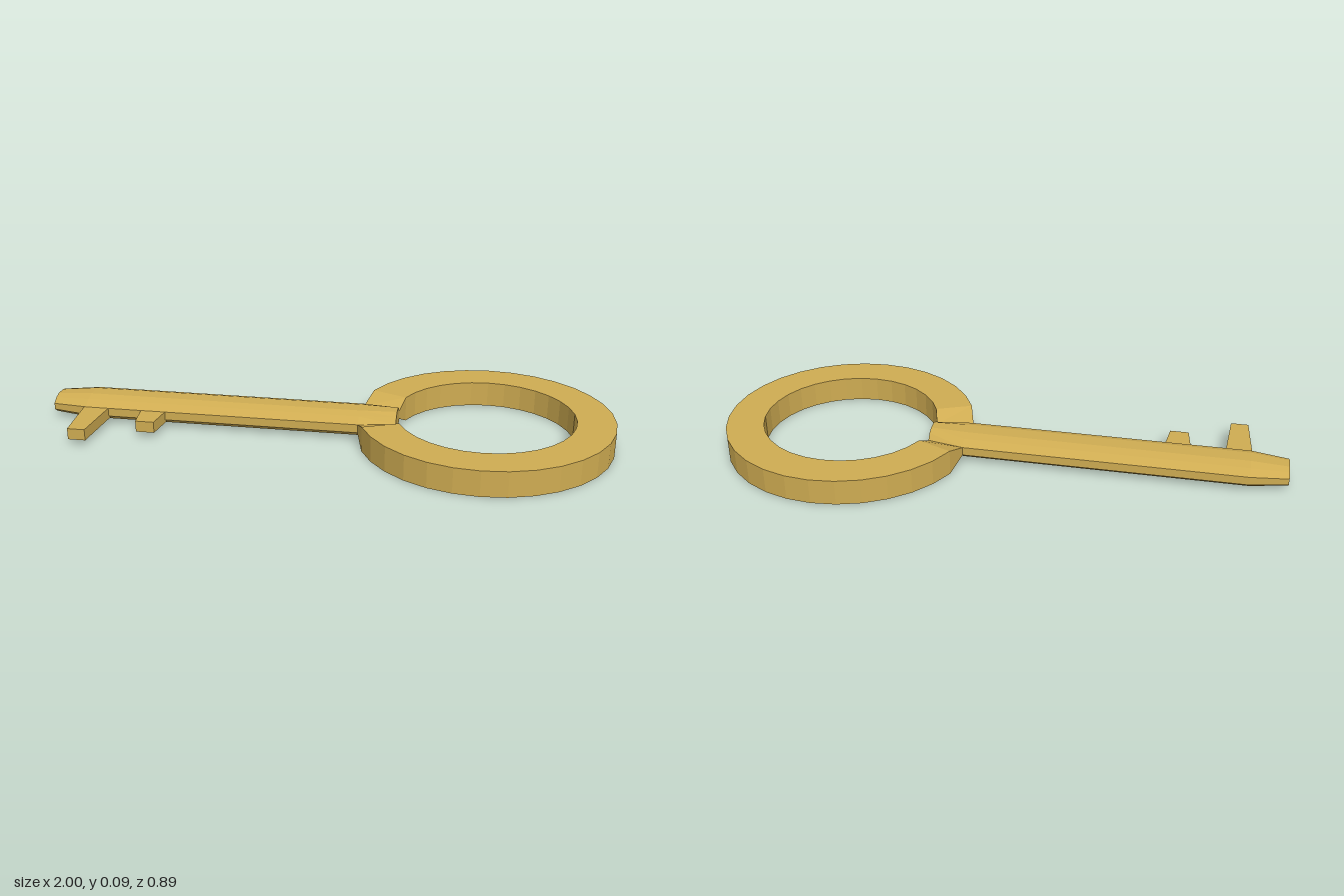
import * as THREE from 'three';

// Joins cross-sections into a closed solid; points run counter-clockwise about the travel direction
function loft(sections) {
  const pos = [];
  const tri = (...pts) => pts.forEach((p) => pos.push(...p));
  const n = sections[0].length;
  for (let s = 0; s < sections.length - 1; s++) {
    const a = sections[s], b = sections[s + 1];
    for (let i = 0; i < n; i++) {
      const j = (i + 1) % n;
      tri(a[i], a[j], b[j]);
      tri(a[i], b[j], b[i]);
    }
  }
  const first = sections[0], last = sections[sections.length - 1];
  for (let i = 1; i < n - 1; i++) {
    tri(first[0], first[i + 1], first[i]);
    tri(last[0], last[i], last[i + 1]);
  }
  const geo = new THREE.BufferGeometry();
  geo.setAttribute('position', new THREE.Float32BufferAttribute(pos, 3));
  geo.computeVertexNormals();
  return geo;
}

export function createModel() {
  const key = new THREE.Group();
  key.name = 'key';
  const brass = new THREE.MeshStandardMaterial({ color: 0xcfac52 });
  brass.name = 'brass';
  const add = (name, sections) => {
    const mesh = new THREE.Mesh(loft(sections), brass);
    mesh.name = name;
    key.add(mesh);
  };

  // Ring handle: 32-sided, open by two steps where the shaft enters, ends pinched
  const cx = 0.555, outer = 0.445, inner = 0.312, step = Math.PI / 16;
  const ring = [];
  for (let k = -15; k <= 15; k++) {
    const c = Math.cos(k * step), s = Math.sin(k * step);
    const [lo, hi] = Math.abs(k) === 15 ? [0.03, 0.06] : [0, 0.09];
    ring.push([[outer, lo], [outer, hi], [inner, hi], [inner, lo]]
      .map(([r, y]) => [cx + r * c, y, r * s]));
  }
  add('ringHandle', ring);

  // Shaft: flattened twelve-sided bar with a tapered tip and a narrowed root
  const half = [[0.09, 0.028], [0.08, 0.06], [0.06, 0.087], [0.03, 0.087], [0.01, 0.06], [0, 0.028]];
  const profile = [...half, ...half.map(([y, z]) => [y, -z]).reverse()];
  const shaft = [[-1, 0.75, 0.75], [-0.87, 1, 1], [0.119, 1, 1], [0.249, 0.7, 1]]
    .map(([x, sz, sy]) => profile.map(([y, z]) => [x, 0.045 + (y - 0.045) * sy, z * sz]));
  add('shaft', shaft);

  // Teeth: blocks narrowing away from the shaft
  for (const [name, x, root, tip, end] of [
    ['longTooth', -0.832, 0.046, 0.031, 0.283],
    ['shortTooth', -0.62, 0.046, 0.033, 0.182],
  ]) {
    add(name, [[root, 0.075], [tip, end]].map(([w, z]) =>
      [[x + w, 0.02, z], [x + w, 0.06, z], [x - w, 0.06, z], [x - w, 0.02, z]]));
  }
  return key;
}
